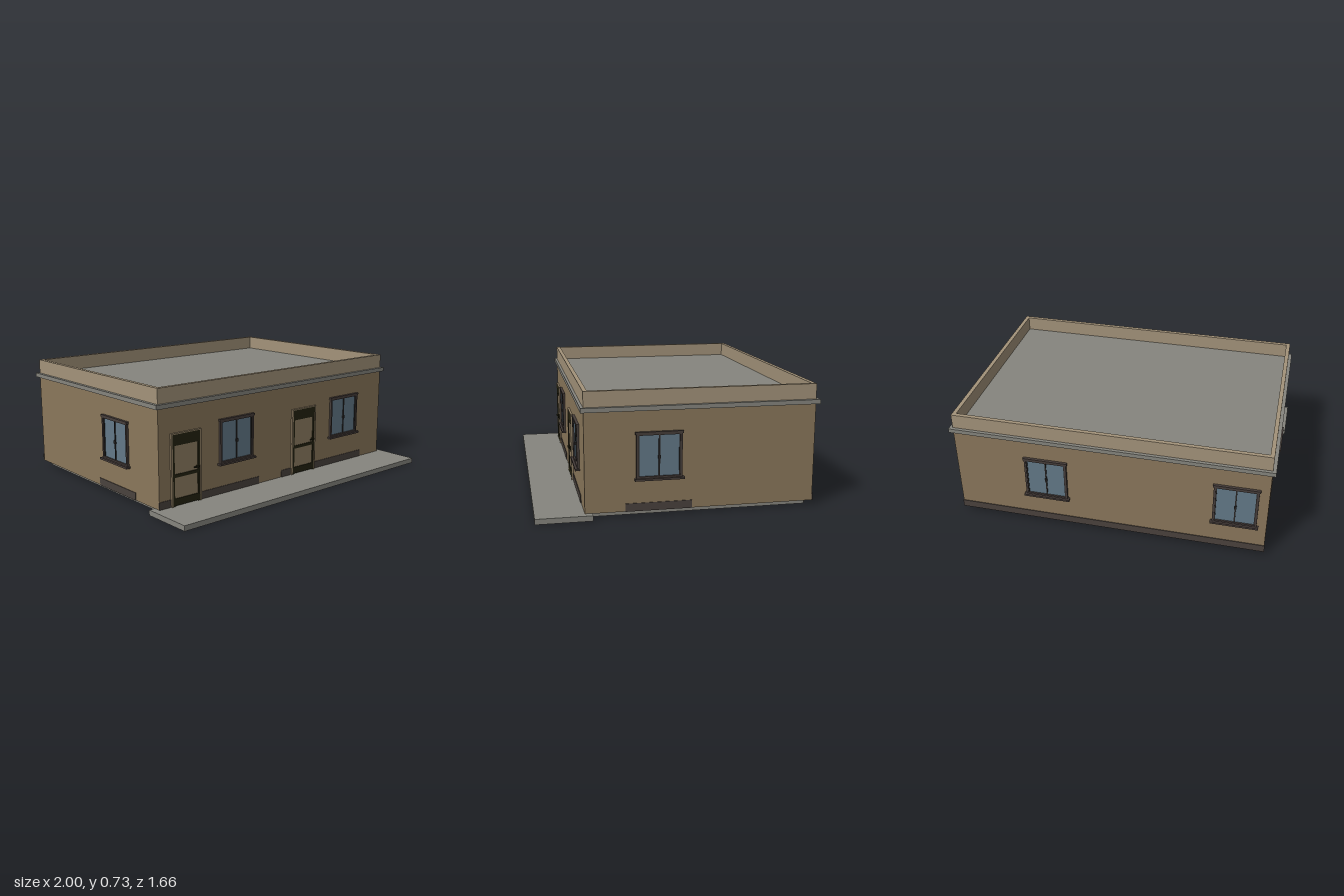
import * as THREE from 'three';

const mat = (name, color, extra) => {
  const m = new THREE.MeshStandardMaterial({ color });
  m.name = name;
  return m;
};

export function createModel() {
  const wallTan = mat('wall tan', 0x8a775b);
  const parapetTan = mat('parapet tan', 0xa3937a);
  const panelTan = mat('door panel tan', 0x8f7e63);
  const concrete = mat('concrete grey', 0x86857e);
  const plinthBrown = mat('plinth brown', 0x4a423d);
  const frameBrown = mat('frame brown', 0x463d3a);
  const sashDark = mat('sash dark', 0x2a2726);
  const glassBlue = mat('glass blue', 0x637988);
  const doorDark = mat('door dark', 0x24220f);

  const model = new THREE.Group();
  model.name = 'house';

  // Box given by its minimum and maximum on each axis
  const box = (parent, name, material, x0, x1, y0, y1, z0, z1) => {
    const mesh = new THREE.Mesh(new THREE.BoxGeometry(x1 - x0, y1 - y0, z1 - z0), material);
    mesh.position.set((x0 + x1) / 2, (y0 + y1) / 2, (z0 + z1) / 2);
    mesh.name = name;
    parent.add(mesh);
    return mesh;
  };

  // Rectangular border made of two posts and two rails
  const border = (parent, name, material, x0, x1, y0, y1, t, z0, z1) => {
    box(parent, name + 'Left', material, x0, x0 + t, y0, y1, z0, z1);
    box(parent, name + 'Right', material, x1 - t, x1, y0, y1, z0, z1);
    box(parent, name + 'Bottom', material, x0 + t, x1 - t, y0, y0 + t, z0, z1);
    box(parent, name + 'Top', material, x0 + t, x1 - t, y1 - t, y1, z0, z1);
  };

  const X = 0.96, ZF = 0.548, ZB = -0.8;

  // Ground slabs, walls, and the roof slab whose edge forms the cornice
  box(model, 'baseSlab', concrete, -0.925, 0.925, 0, 0.03, -0.765, 0.505);
  box(model, 'porchSlab', concrete, -1, 1, 0, 0.032, 0.505, 0.83);
  box(model, 'walls', wallTan, -X, X, 0.03, 0.62, ZB, ZF);
  box(model, 'roofAndCornice', concrete, -0.98, 0.98, 0.614, 0.64, -0.82, 0.565);

  // Parapet ring around the roof
  const rect = (P, x, z0, z1) => new P([
    new THREE.Vector2(-x, -z1), new THREE.Vector2(x, -z1),
    new THREE.Vector2(x, -z0), new THREE.Vector2(-x, -z0),
  ]);
  const ring = rect(THREE.Shape, X, ZB, ZF);
  ring.holes.push(rect(THREE.Path, X - 0.025, ZB + 0.025, ZF - 0.025));
  const ringGeo = new THREE.ExtrudeGeometry(ring, { depth: 0.092, bevelEnabled: false });
  ringGeo.rotateX(-Math.PI / 2);
  const parapet = new THREE.Mesh(ringGeo, parapetTan);
  parapet.position.y = 0.638;
  parapet.name = 'parapet';
  model.add(parapet);

  // Group on a wall face: local z points outwards
  const onWall = (name, x, z, turn) => {
    const g = new THREE.Group();
    g.name = name;
    g.position.set(x, 0, z);
    g.rotation.y = turn;
    model.add(g);
    return g;
  };

  // Two-pane windows
  const addWindow = (name, x, z, turn) => {
    const g = onWall(name, x, z, turn);
    border(g, 'surround', frameBrown, -0.132, 0.132, 0.222, 0.484, 0.012, -0.01, 0.015);
    box(g, 'lintel', frameBrown, -0.138, 0.138, 0.478, 0.492, -0.01, 0.017);
    box(g, 'sill', frameBrown, -0.143, 0.143, 0.212, 0.224, -0.01, 0.028);
    border(g, 'sash', sashDark, -0.12, 0.12, 0.224, 0.478, 0.006, -0.01, 0.01);
    box(g, 'mullion', sashDark, -0.004, 0.004, 0.23, 0.472, -0.01, 0.01);
    box(g, 'latch', sashDark, -0.007, 0.007, 0.335, 0.355, 0, 0.014);
    for (const s of [-1, 1]) {
      box(g, 'pane', glassBlue, s * 0.059 - 0.055, s * 0.059 + 0.055, 0.23, 0.472, 0, 0.005);
    }
  };
  addWindow('frontWindowA', -0.388, ZF, 0);
  addWindow('frontWindowB', 0.576, ZF, 0);
  addWindow('backWindowA', -0.77, ZB, Math.PI);
  addWindow('backWindowB', 0.385, ZB, Math.PI);
  addWindow('leftWindow', X, 0.123, Math.PI / 2);
  addWindow('rightWindow', -X, 0.123, -Math.PI / 2);

  // Doors with a solid transom, two panels and a lever handle
  for (const x of [-0.772, 0.19]) {
    const g = onWall('door', x, ZF, 0);
    for (const s of [-1, 1]) {
      box(g, 'doorTrim', panelTan, s * 0.103 - 0.005, s * 0.103 + 0.005, 0.032, 0.462, -0.01, 0.013);
      box(g, 'doorStile', doorDark, s * 0.091 - 0.007, s * 0.091 + 0.007, 0.032, 0.455, -0.01, 0.011);
    }
    box(g, 'doorTrimTop', panelTan, -0.098, 0.098, 0.455, 0.462, -0.01, 0.013);
    box(g, 'transom', doorDark, -0.084, 0.084, 0.39, 0.455, -0.01, 0.011);
    box(g, 'middleRail', doorDark, -0.084, 0.084, 0.203, 0.222, -0.01, 0.011);
    box(g, 'kickPlate', doorDark, -0.084, 0.084, 0.036, 0.078, -0.01, 0.011);
    box(g, 'upperPanel', panelTan, -0.084, 0.084, 0.222, 0.39, 0, 0.006);
    box(g, 'lowerPanel', panelTan, -0.084, 0.084, 0.078, 0.203, 0, 0.006);
    box(g, 'handleStem', doorDark, 0.073, 0.081, 0.24, 0.248, 0, 0.03);
    box(g, 'handleLever', doorDark, 0.045, 0.081, 0.24, 0.248, 0.023, 0.031);
  }

  // Dark plinth strips along the foot of the walls
  for (const [a, b] of [[-0.963, -0.88], [-0.664, -0.197], [0, 0.082], [0.298, 0.768]]) {
    box(model, 'frontPlinth', plinthBrown, a, b, 0.032, 0.077, ZF - 0.002, ZF + 0.004);
  }
  box(model, 'backPlinth', plinthBrown, -0.963, 0.963, 0.03, 0.077, ZB - 0.004, ZB + 0.002);
  for (const s of [-1, 1]) {
    const p = box(model, 'sidePlinth', plinthBrown, -0.003, 0.003, 0.03, 0.077, -0.07, 0.318);
    p.position.x = s * (X + 0.001);
  }

  return model;
}
